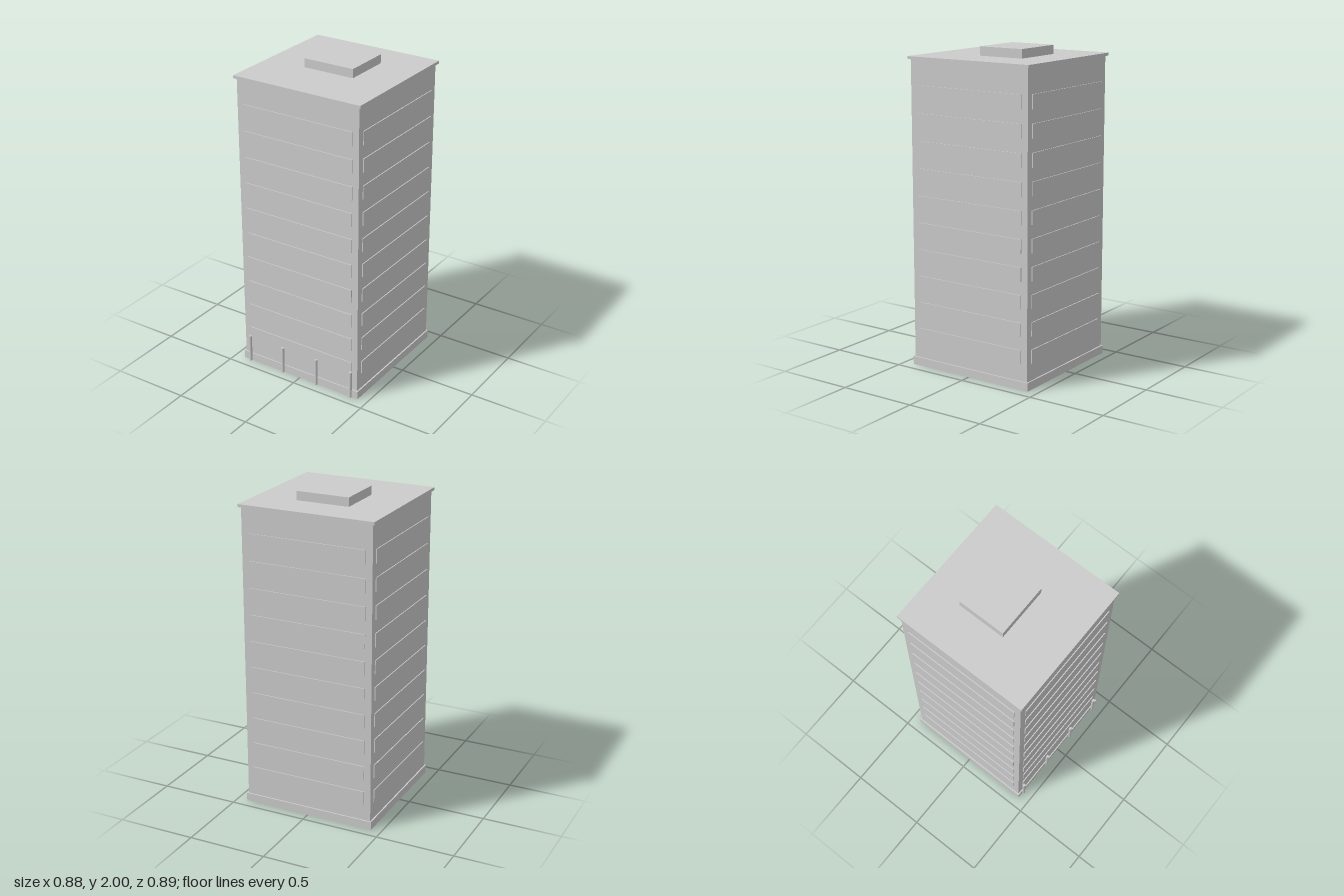
import * as THREE from 'three';

const material = new THREE.MeshStandardMaterial({ color: 0xcccccc, flatShading: true });
const smooth = new THREE.MeshStandardMaterial({ color: 0xcccccc });

// Box spanning y0..y1, centred on x and z
function block(name, w, y0, y1, d, x = 0, z = 0) {
  const mesh = new THREE.Mesh(new THREE.BoxGeometry(w, y1 - y0, d), material);
  mesh.name = name;
  mesh.position.set(x, (y0 + y1) / 2, z);
  return mesh;
}

export function createModel() {
  const root = new THREE.Group();
  root.name = 'towerBlock';
  const tower = new THREE.Group();
  tower.name = 'tower';
  tower.position.z = -0.0035;
  root.add(tower);

  // Main volumes
  const half = 0.425;
  tower.add(
    block('plinth', 0.868, 0, 0.053, 0.868),
    block('body', half * 2, 0.02, 1.93, half * 2),
    block('roofSlab', 0.88, 1.926, 1.944, 0.88),
    block('roofPlantRoom', 0.342, 1.944, 2, 0.307, 0, -0.056)
  );

  // One window band per floor on each of the four faces
  const floors = 10, pitch = 0.1695, proud = 0.006;
  for (let side = 0; side < 4; side++) {
    const face = new THREE.Group();
    face.name = ['front', 'left', 'back', 'right'][side] + 'Windows';
    face.rotation.y = side * Math.PI / 2;
    for (let i = 0; i < floors; i++) {
      const y = 0.16 + i * pitch;
      face.add(block('windowBand', 0.764, y, y + 0.086, 0.02, 0, half + proud - 0.01));
    }
    tower.add(face);
  }

  // Lobby glazing and the entrance columns in front of it
  tower.add(block('lobbyGlazing', 0.764, 0.05, 0.16, 0.02, 0, half + 0.002 - 0.01));
  for (const x of [-0.382, -0.127, 0.127, 0.382]) {
    const column = new THREE.Mesh(new THREE.CylinderGeometry(0.01, 0.01, 0.18, 12), smooth);
    column.name = 'entranceColumn';
    column.position.set(x, 0.09, 0.437);
    tower.add(column);
  }
  return root;
}
